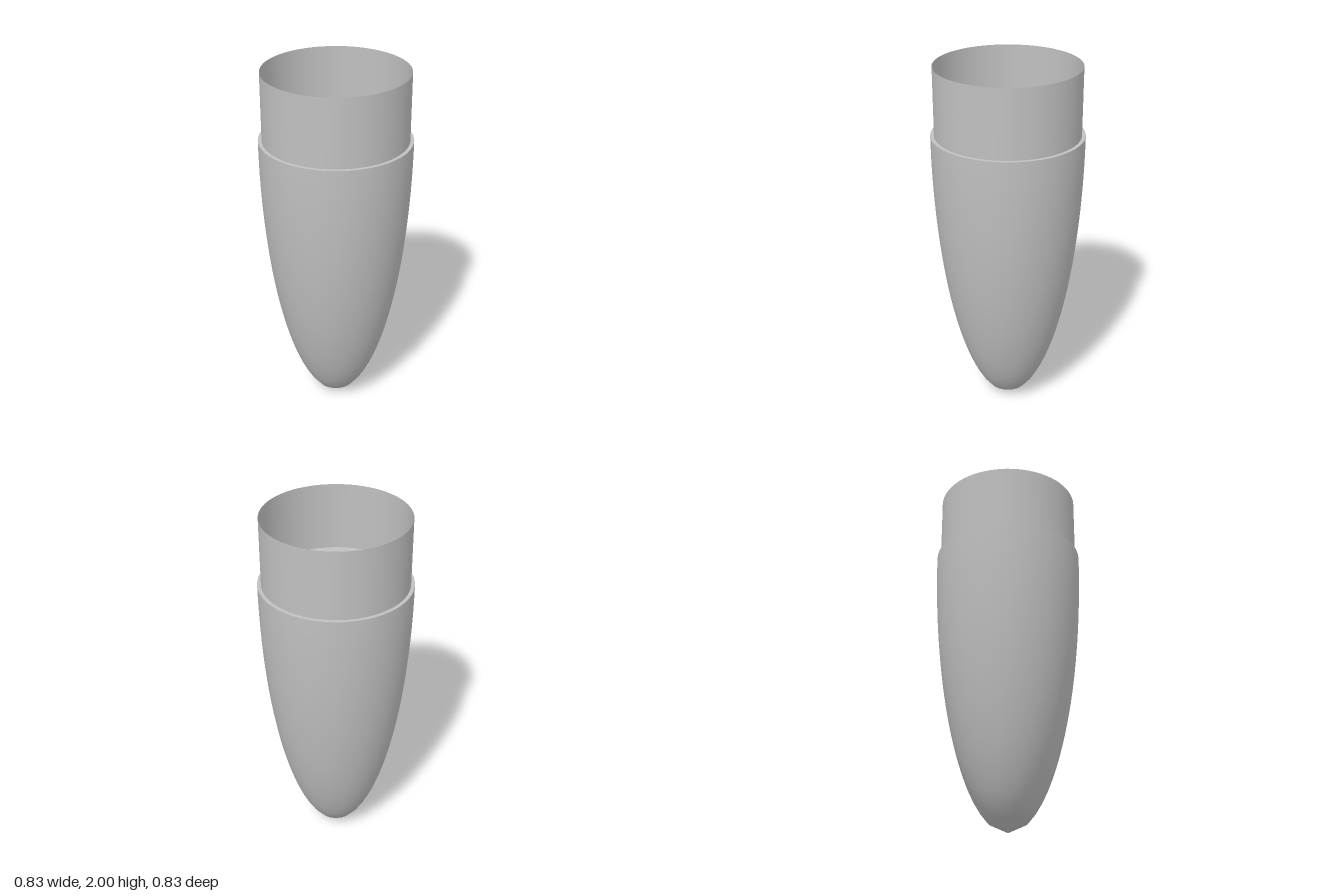
import * as THREE from 'three';

export function createModel() {
  const group = new THREE.Group();
  const grey = new THREE.MeshStandardMaterial({ color: 0xc0c0c0, side: THREE.DoubleSide });
  grey.name = 'light grey';

  const radius = 0.413, tubeRadius = 0.393, bodyHeight = 1.625, top = 2, sides = 72, steps = 30;

  const add = (name, geometry, y) => {
    const mesh = new THREE.Mesh(geometry, grey);
    mesh.name = name;
    mesh.position.y = y;
    group.add(mesh);
    return mesh;
  };

  // Half-ellipse nose, tip down, in equal height steps
  const profile = [];
  for (let i = 0; i <= steps; i++) {
    const t = i / steps;
    profile.push(new THREE.Vector2(radius * Math.sqrt(1 - (1 - t) ** 2), bodyHeight * t));
  }
  add('noseCone', new THREE.LatheGeometry(profile, sides), 0);

  // Flat base closing the cone; its rim forms the ledge around the sleeve
  add('coneBase', new THREE.CircleGeometry(radius, sides).rotateX(-Math.PI / 2), bodyHeight);

  // Thin open sleeve
  const height = top - bodyHeight;
  add('shoulderSleeve',
    new THREE.CylinderGeometry(tubeRadius, tubeRadius, height, sides, 1, true),
    bodyHeight + height / 2);

  return group;
}
